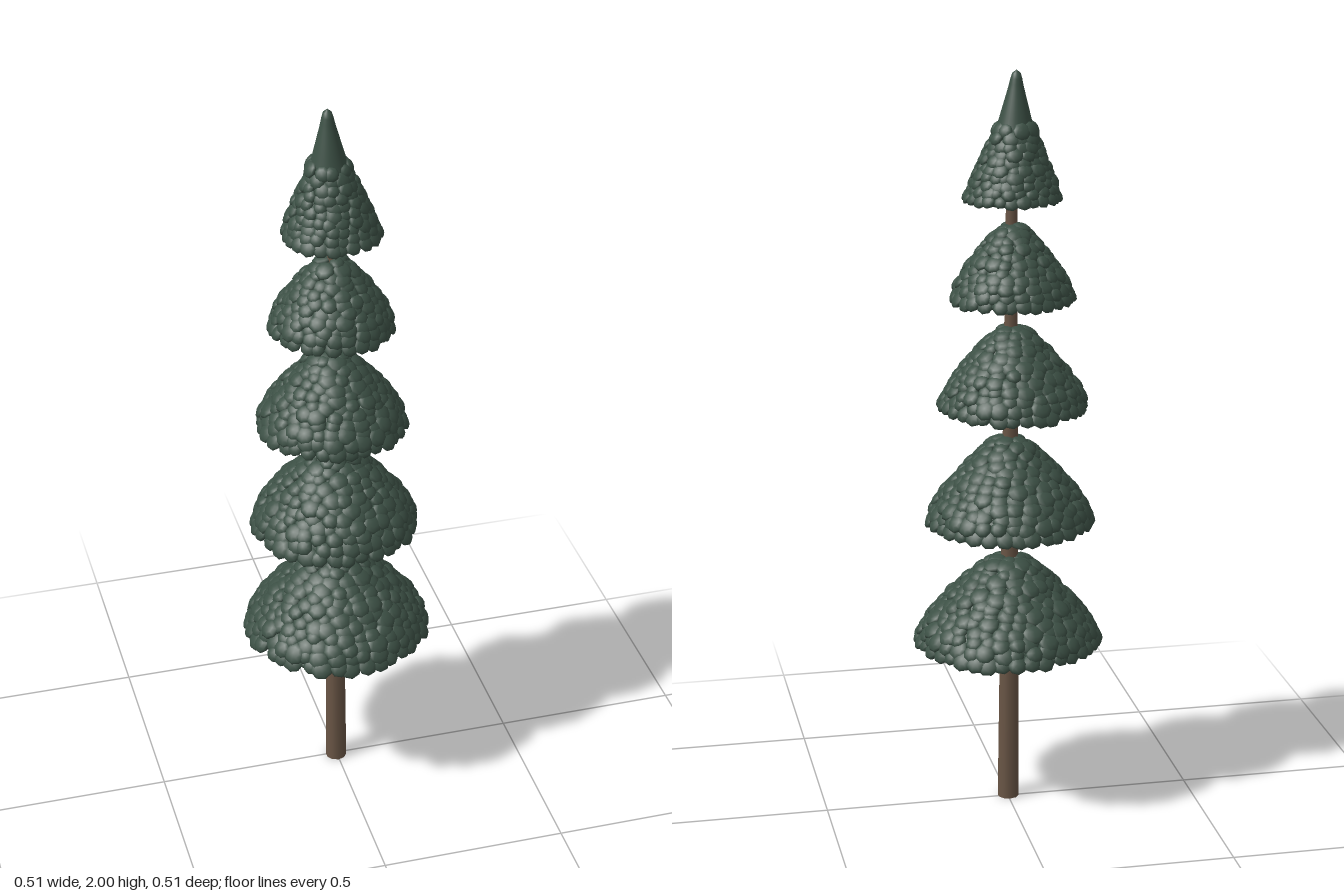
import * as THREE from 'three';
import { mergeGeometries } from 'three/addons/utils/BufferGeometryUtils.js';

// Tiers of foliage: centre x/z, base height, top height, hem radius, clump size
const TIERS = [
  { name: 'lowestFoliage', x: 0, z: 0.0, base: 0.46, top: 0.70, r: 0.253, clump: 0.027 },
  { name: 'lowerFoliage', x: -0.006, z: 0.0, base: 0.795, top: 1.03, r: 0.225, clump: 0.026 },
  { name: 'middleFoliage', x: -0.014, z: 0.005, base: 1.11, top: 1.33, r: 0.2, clump: 0.025 },
  { name: 'upperFoliage', x: -0.014, z: 0.006, base: 1.4, top: 1.6, r: 0.165, clump: 0.023 },
  { name: 'crownFoliage', x: -0.014, z: 0.004, base: 1.66, top: 2.0, r: 0.13, clump: 0.021, crown: true },
];

// Outlines from hem to tip as fractions of radius and height
const DOME = [[1, 0.02], [0.92, 0.2], [0.63, 0.56], [0.24, 0.93], [0, 1]];
const SPIRE = [[1, 0.02], [0.82, 0.18], [0.58, 0.38], [0.44, 0.52], [0.3, 0.7], [0.17, 0.87], [0.1, 0.97], [0, 1]];

// Seeded random numbers
function makeRandom(seed) {
  let s = seed;
  return () => {
    s = (s * 16807) % 2147483647;
    return s / 2147483647;
  };
}

// One tier: a solid core covered in overlapping rounded clumps
function foliageGeometry(tier, random) {
  const { base, top, r, clump, crown } = tier;
  const thick = clump * 0.5;
  const outline = new THREE.SplineCurve((crown ? SPIRE : DOME).map(([fr, fy]) =>
    new THREE.Vector2(fr * (r - clump * 0.7), base + 0.012 + fy * (top - base - 0.012 - (crown ? 0 : thick * 0.6)))));

  const profile = [new THREE.Vector2(0, base + 0.012), ...outline.getSpacedPoints(24)];
  profile.forEach((p) => { p.x = Math.max(p.x, 0); });
  const parts = [new THREE.LatheGeometry(profile, 32)];

  const ball = new THREE.SphereGeometry(1, 8, 6);
  const up = new THREE.Vector3(0, 1, 0);
  const addRing = (radius, y, nr, ny, phase, size) => {
    const count = Math.max(3, Math.round((2 * Math.PI * radius) / (size * 1.45)));
    for (let i = 0; i < count; i++) {
      const a = ((i + phase + (random() - 0.5) * 0.5) / count) * Math.PI * 2;
      const s = size * (0.85 + random() * 0.35);
      const rr = radius + (random() - 0.5) * size * 0.35;
      const normal = new THREE.Vector3(Math.cos(a) * nr, ny, Math.sin(a) * nr).normalize();
      const matrix = new THREE.Matrix4().compose(
        new THREE.Vector3(Math.cos(a) * rr, y + (random() - 0.5) * thick * 0.4, Math.sin(a) * rr),
        new THREE.Quaternion().setFromUnitVectors(up, normal),
        new THREE.Vector3(s, thick, s));
      parts.push(ball.clone().applyMatrix4(matrix));
    }
  };

  // Clumps shingled up the slope, with a smooth tip on the crown
  const rings = Math.round(outline.getLength() / (clump * 0.95));
  for (let i = 0; i < rings; i++) {
    const t = i / rings;
    const p = outline.getPointAt(t);
    const d = outline.getTangentAt(t);
    if (p.x < (crown ? 0.045 : 0.012)) break;
    addRing(p.x, p.y, d.y, -d.x + 0.25, (i % 2) * 0.5, clump);
  }
  // Clumps across the underside
  for (let radius = r - clump * 1.6; radius > 0.02; radius -= clump * 1.4) {
    addRing(radius, base + 0.013, 0.12, -1, random(), clump);
  }

  const geometry = mergeGeometries(parts);
  // Lean the spire slightly
  if (crown) {
    const pos = geometry.attributes.position;
    for (let i = 0; i < pos.count; i++) {
      const k = Math.max(0, (pos.getY(i) - base) / (top - base));
      pos.setX(i, pos.getX(i) - 0.007 * k);
      pos.setZ(i, pos.getZ(i) - 0.012 * k);
    }
    geometry.computeBoundingSphere();
  }
  return geometry;
}

// Slender tapered trunk with a slight lean
function trunkGeometry() {
  const height = 1.75;
  const geometry = new THREE.CylinderGeometry(0.014, 0.029, height, 10, 8);
  geometry.translate(0, height / 2, 0);
  const pos = geometry.attributes.position;
  for (let i = 0; i < pos.count; i++) {
    const k = pos.getY(i) / height;
    pos.setX(i, pos.getX(i) - 0.002 - 0.011 * k);
    pos.setZ(i, pos.getZ(i) + 0.004 + 0.008 * k);
  }
  return geometry;
}

export function createModel() {
  const needleGreen = new THREE.MeshStandardMaterial({ color: 0x3c5045 });
  needleGreen.name = 'needleGreen';
  const barkBrown = new THREE.MeshStandardMaterial({ color: 0x6a5646 });
  barkBrown.name = 'barkBrown';

  const tree = new THREE.Group();
  tree.name = 'pineTree';

  const trunk = new THREE.Mesh(trunkGeometry(), barkBrown);
  trunk.name = 'trunk';
  tree.add(trunk);

  const random = makeRandom(4711);
  for (const tier of TIERS) {
    const foliage = new THREE.Mesh(foliageGeometry(tier, random), needleGreen);
    foliage.name = tier.name;
    foliage.position.set(tier.x, 0, tier.z);
    tree.add(foliage);
  }
  return tree;
}
